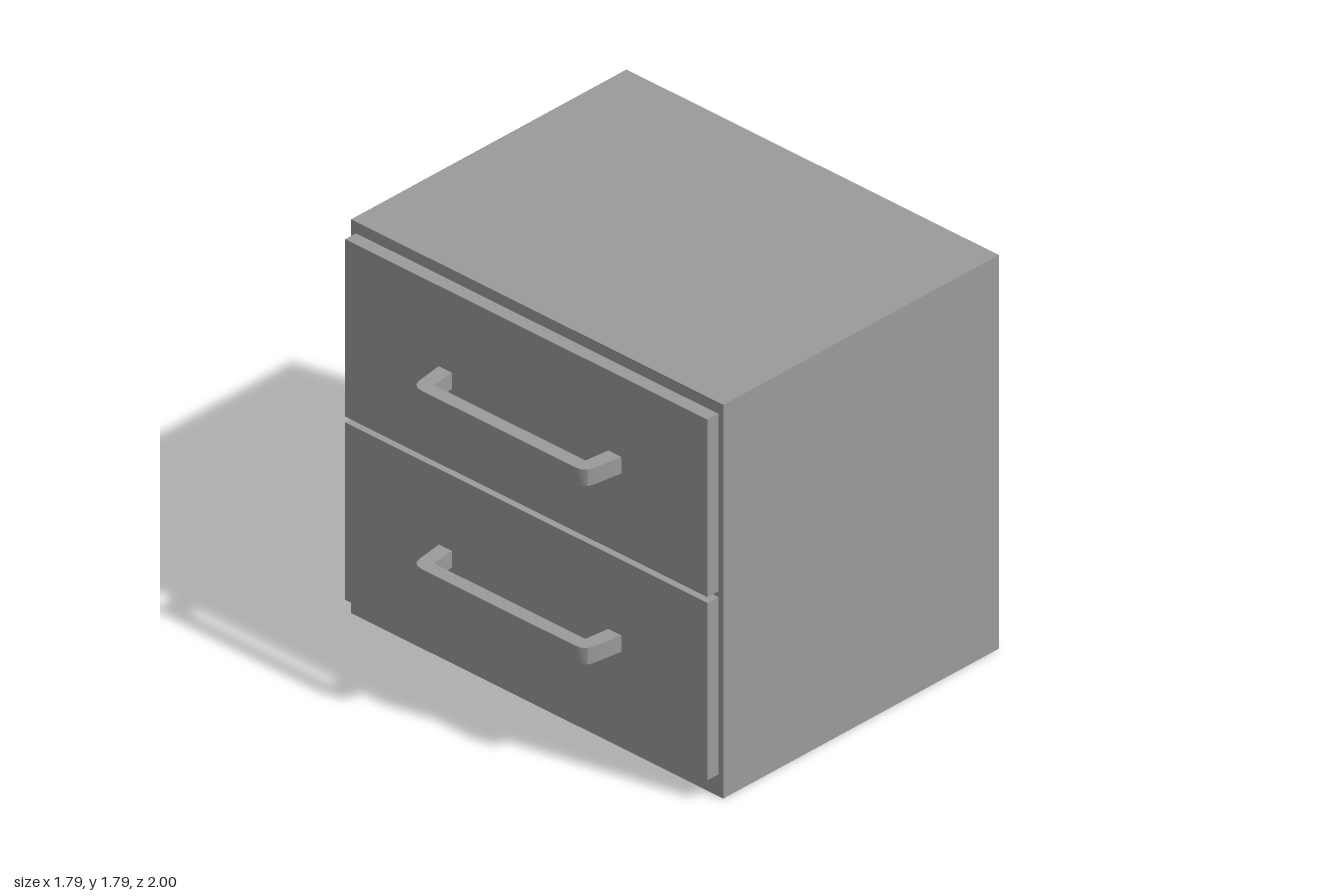
import * as THREE from 'three';
import { toCreasedNormals } from 'three/addons/utils/BufferGeometryUtils.js';

const material = new THREE.MeshStandardMaterial({ color: 0x9b9b9b });

// Box given by its minimum and maximum corners
function box(name, min, max) {
  const size = max.map((v, i) => v - min[i]);
  const mesh = new THREE.Mesh(new THREE.BoxGeometry(...size), material);
  mesh.position.set(...max.map((v, i) => (v + min[i]) / 2));
  mesh.name = name;
  return mesh;
}

// Bow handle: outline drawn in plan (x, z), extruded vertically
function handleGeometry(height) {
  const s = new THREE.Shape();
  s.moveTo(-0.714, -0.47);
  s.lineTo(-0.848, -0.45);
  s.quadraticCurveTo(-0.893, -0.441, -0.893, -0.388);
  s.lineTo(-0.893, 0.432);
  s.quadraticCurveTo(-0.893, 0.482, -0.848, 0.49);
  s.lineTo(-0.714, 0.51);
  s.lineTo(-0.714, 0.44);
  s.lineTo(-0.829, 0.427);
  s.lineTo(-0.829, -0.387);
  s.lineTo(-0.714, -0.4);
  s.closePath();
  const geo = new THREE.ExtrudeGeometry(s, { depth: height, bevelEnabled: false, curveSegments: 3 });
  geo.rotateX(Math.PI / 2).translate(0, height, 0);
  return toCreasedNormals(geo, 0.5);
}

export function createModel() {
  const model = new THREE.Group();
  model.name = 'drawerCabinet';

  // Cabinet body
  model.add(box('cabinetBody', [-0.653, 0, -1], [0.893, 1.79, 1]));

  // Two drawers, each a front panel with a handle
  const handle = handleGeometry(0.075);
  ['lowerDrawer', 'upperDrawer'].forEach((name, i) => {
    const drawer = new THREE.Group();
    drawer.name = name;
    drawer.position.y = 0.098 + i * 0.833;
    drawer.add(box('drawerFront', [-0.714, 0, -0.973], [-0.653, 0.807, 0.973]));

    const pull = new THREE.Mesh(handle, material);
    pull.name = 'drawerHandle';
    pull.position.y = i ? 0.367 : 0.389;
    drawer.add(pull);
    model.add(drawer);
  });

  return model;
}
